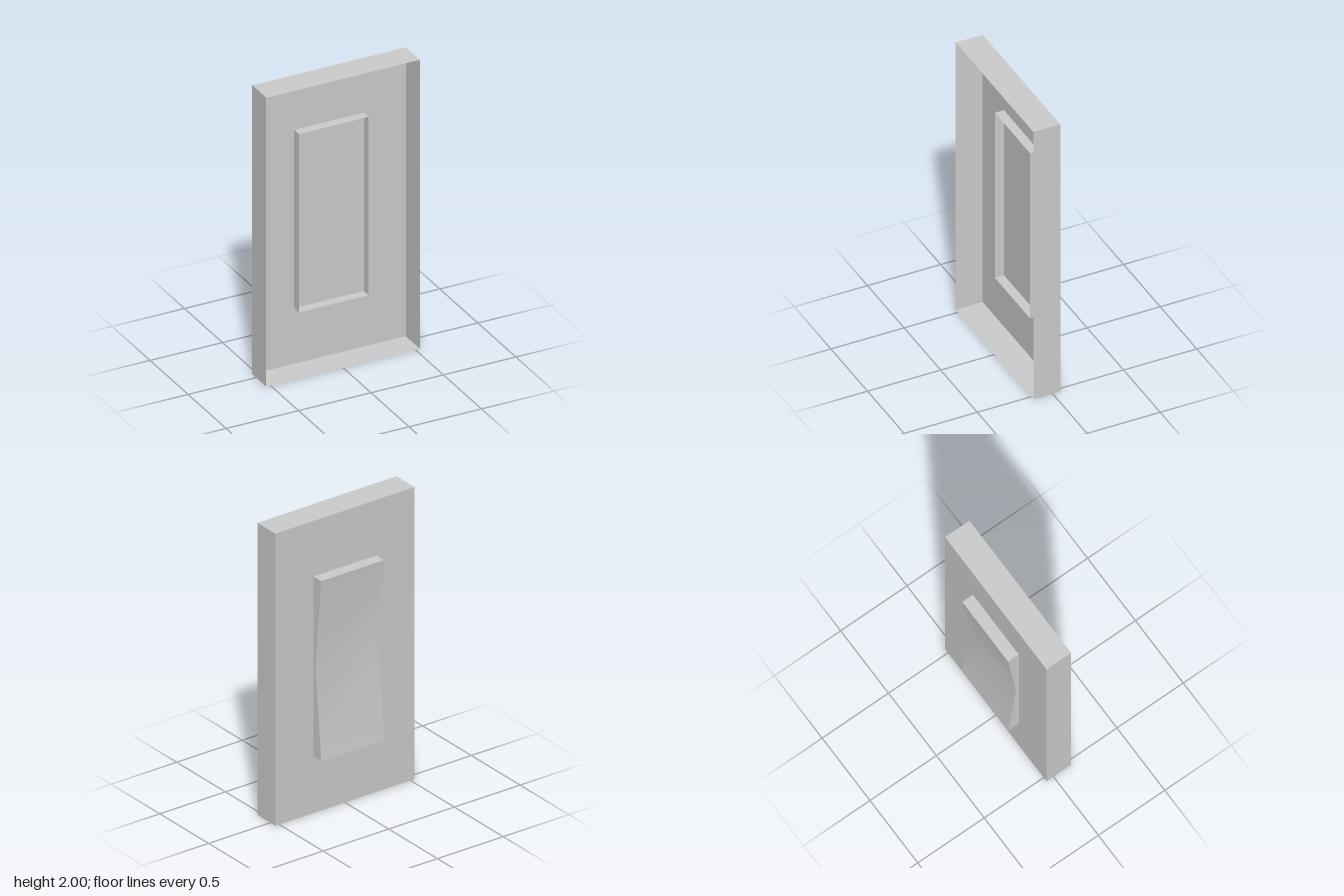
import * as THREE from 'three';
import { toCreasedNormals } from 'three/addons/utils/BufferGeometryUtils.js';

const W = 1.06, H = 2, FRONT = 0.132, PANEL = -0.052, BACK = -0.132;
const RW = 0.48, RH = 1.235, MID = -0.073, LIP = 0.01, CY = 1.002;

const grey = new THREE.MeshStandardMaterial({ color: 0xcccccc });
const thin = new THREE.MeshStandardMaterial({ color: 0xcccccc, side: THREE.DoubleSide });

function add(parent, name, geometry, material) {
  const mesh = new THREE.Mesh(geometry, material);
  mesh.name = name;
  parent.add(mesh);
  return mesh;
}

// Four thin walls around a rectangle, open at both ends
function wallRing(name, w, h, cy, z0, z1) {
  const ring = new THREE.Group();
  ring.name = name;
  const depth = z1 - z0, z = (z0 + z1) / 2;
  for (const s of [-1, 1]) {
    const side = new THREE.PlaneGeometry(depth, h).rotateY(s * Math.PI / 2);
    add(ring, s > 0 ? 'leftWall' : 'rightWall', side, thin).position.set(s * w / 2, cy, z);
    const cap = new THREE.PlaneGeometry(w, depth).rotateX(-s * Math.PI / 2);
    add(ring, s > 0 ? 'topWall' : 'bottomWall', cap, thin).position.set(0, cy + s * h / 2, z);
  }
  return ring;
}

export function createModel() {
  const model = new THREE.Group();
  model.name = 'rockerSwitchPlate';

  // Hollow cover plate, open towards +z
  model.add(wallRing('plateRim', W, H, H / 2, PANEL, FRONT));
  add(model, 'platePanel', new THREE.PlaneGeometry(W, H), thin).position.set(0, H / 2, PANEL);

  // Shallow open collar inside the plate
  model.add(wallRing('innerCollar', RW, RH, CY, PANEL, LIP));

  // Rocker with a shallow V face: side profile (z, y) swept across x
  const lo = CY - RH / 2, hi = CY + RH / 2;
  const profile = new THREE.Shape([
    [PANEL, lo], [PANEL, hi], [BACK, hi], [MID, CY], [BACK, lo],
  ].map(([z, y]) => new THREE.Vector2(z, y)));
  const rocker = new THREE.ExtrudeGeometry(profile, { depth: RW, bevelEnabled: false })
    .translate(0, 0, -RW / 2)
    .rotateY(-Math.PI / 2);
  add(model, 'rocker', toCreasedNormals(rocker, 0.5), grey);

  return model;
}
